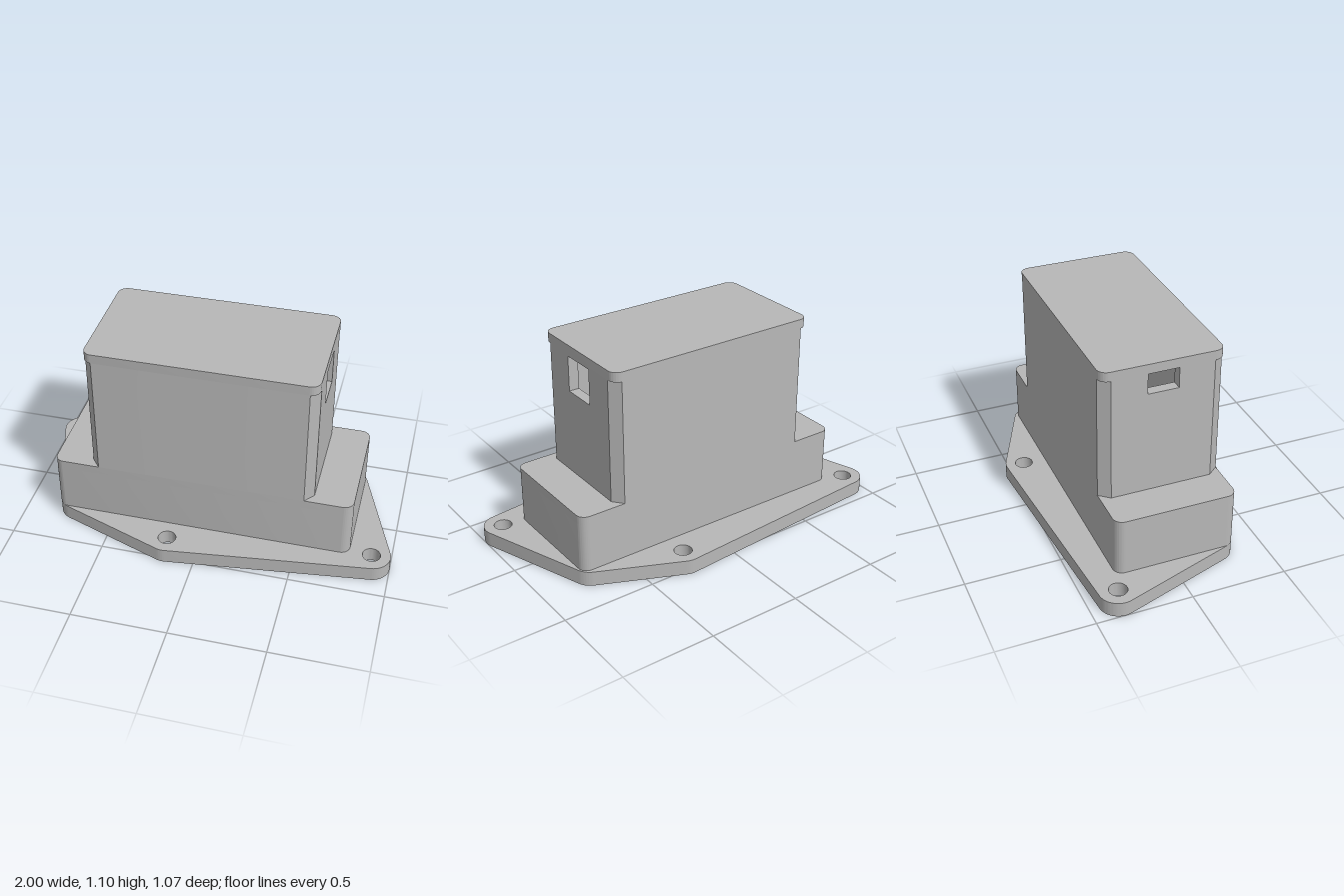
import * as THREE from 'three';
import { toCreasedNormals } from 'three/addons/utils/BufferGeometryUtils.js';

const WALL = 0.055, HALF_Z = 0.32, INNER_Z = HALF_Z - WALL, CORNER = 0.05;

// Counter-clockwise outline wrapped around circles, each given as [x, y, radius]
function wrap(circles) {
  const shape = new THREE.Shape(), n = circles.length;
  const facing = (a, b) => Math.atan2(b[1] - a[1], b[0] - a[0]) - Math.PI / 2;
  circles.forEach((c, i) => {
    const from = facing(circles[(i + n - 1) % n], c);
    const to = facing(c, circles[(i + 1) % n]);
    if (c[2] > 0) shape.absarc(c[0], c[1], c[2], from, to, false);
    else if (i === 0) shape.moveTo(c[0], c[1]);
    else shape.lineTo(c[0], c[1]);
  });
  shape.closePath();
  return shape;
}

function roundedRect(x0, x1, y0, y1, r) {
  return wrap([[x1 - r, y0 + r, r], [x1 - r, y1 - r, r], [x0 + r, y1 - r, r], [x0 + r, y0 + r, r]]);
}

function rect(Type, x0, x1, y0, y1) {
  return new Type([[x0, y0], [x1, y0], [x1, y1], [x0, y1]].map(p => new THREE.Vector2(...p)));
}

function extrude(shape, depth) {
  return new THREE.ExtrudeGeometry(shape, { depth, bevelEnabled: false, curveSegments: 16 });
}

// Plan outline (shape y = -z) raised from y0 to y1
function raise(shape, y0, y1) {
  return toCreasedNormals(extrude(shape, y1 - y0).rotateX(-Math.PI / 2).translate(0, y0, 0), 0.6);
}

export function createModel() {
  const model = new THREE.Group();
  const grey = new THREE.MeshStandardMaterial({ color: 0xb8b8b8 });
  grey.name = 'grey plastic';
  const add = (name, geometry) => {
    const mesh = new THREE.Mesh(geometry, grey);
    mesh.name = name;
    model.add(mesh);
  };
  const opening = () => rect(THREE.Path, -0.745, 0.73, -INNER_Z, INNER_Z);

  // Mounting flange with four screw holes and the open underside
  const flange = wrap([
    [0.9, -0.3, 0.1], [0.7, 0.25, 0.1], [0.27, 0.44, 0.1],
    [-0.9, 0.35, 0.1], [-0.71, -0.235, 0.1], [-0.16, -0.43, 0.1],
  ]);
  for (const [x, y] of [[0.9, -0.3], [0.27, 0.44], [-0.9, 0.35], [-0.16, -0.43]]) {
    flange.holes.push(new THREE.Path().absarc(x, y, 0.047, 0, Math.PI * 2, true));
  }
  flange.holes.push(opening());
  add('mountingFlange', raise(flange, 0, 0.08));

  // Wide lower housing
  const lower = roundedRect(-0.8, 0.785, -HALF_Z, HALF_Z, CORNER);
  lower.holes.push(opening());
  add('lowerHousing', raise(lower, 0.08, 0.345));

  // Stepped shelf closing the lower housing around the tower
  const x0 = -0.6, x1 = 0.58;
  const shelf = roundedRect(-0.8, 0.785, -HALF_Z, HALF_Z, CORNER);
  shelf.holes.push(rect(THREE.Path, x0 + WALL, x1 - WALL, -INNER_Z, INNER_Z));
  add('stepShelf', raise(shelf, 0.345, 0.39));

  // Tower long walls, rounded on their outer corners
  const back = wrap([
    [x0, INNER_Z, 0], [x1, INNER_Z, 0],
    [x1 - CORNER, HALF_Z - CORNER, CORNER], [x0 + CORNER, HALF_Z - CORNER, CORNER],
  ]);
  const backWall = raise(back, 0.39, 1.05);
  add('towerBackWall', backWall);
  add('towerFrontWall', backWall.clone().rotateY(Math.PI).translate(x0 + x1, 0, 0));

  // Tower end walls, each with its own window
  const ends = [
    ['towerLeftEndWall', x1 - WALL, 0.095, 0.85, 1.04],
    ['towerRightEndWall', x0, 0.08, 0.94, 1.049],
  ];
  for (const [name, x, halfWidth, bottom, top] of ends) {
    const wall = rect(THREE.Shape, -INNER_Z, INNER_Z, 0.39, 1.05);
    wall.holes.push(rect(THREE.Path, -halfWidth, halfWidth, bottom, top));
    add(name, extrude(wall, WALL).rotateY(Math.PI / 2).translate(x, 0, 0));
  }

  // Flat roof
  add('towerRoof', raise(roundedRect(x0, x1, -HALF_Z, HALF_Z, CORNER), 1.05, 1.1));

  return model;
}
